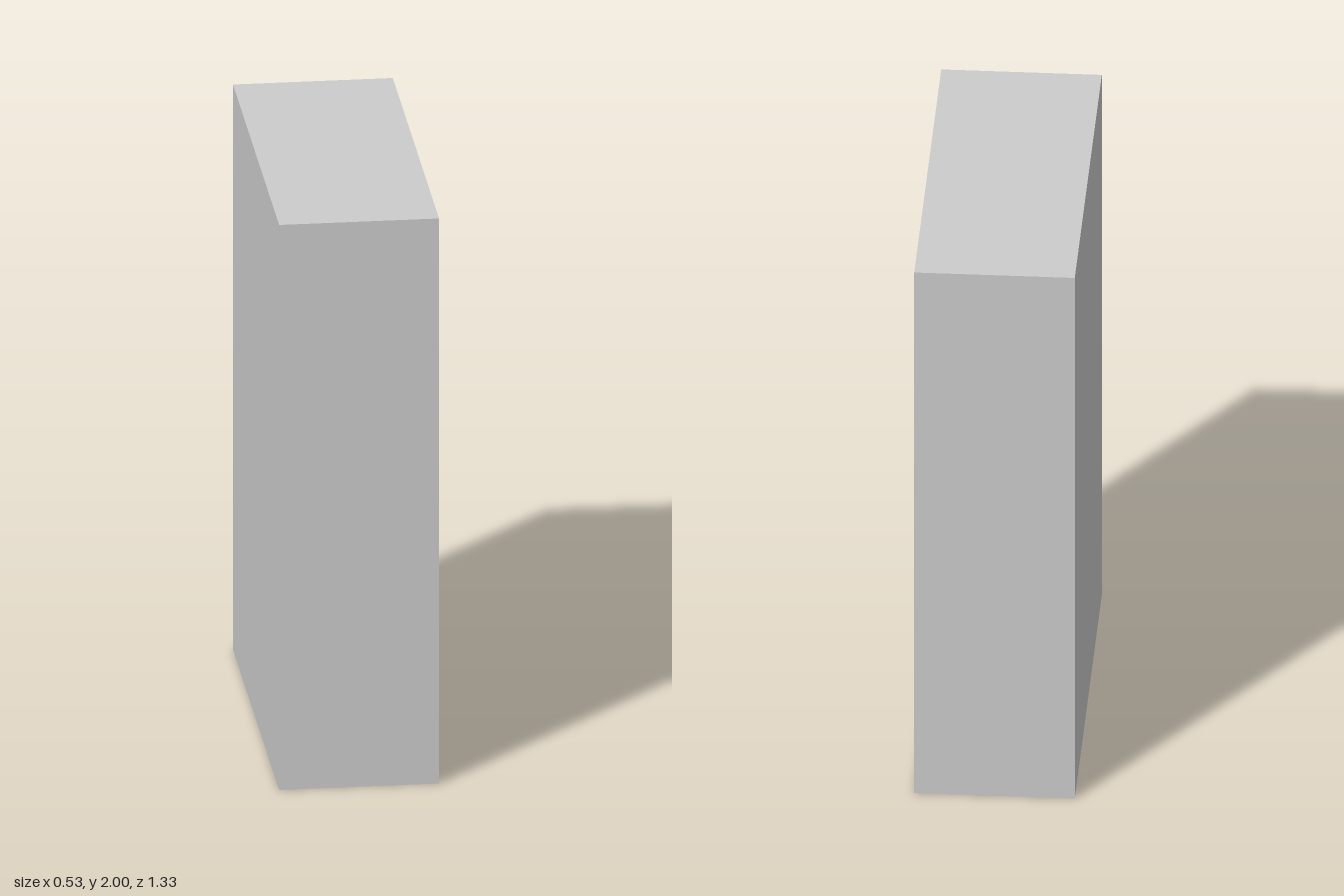
import * as THREE from 'three';

const W = 0.5333, H = 2, D = 1.3333; // overall x, y, z
const RECESS = 0.1333;               // depth of the recessed door
const BORDER = 0.1667;               // width of the frame

function rectangle(PathType, w, h) {
  return new PathType([
    new THREE.Vector2(-w / 2, -h / 2), new THREE.Vector2(w / 2, -h / 2),
    new THREE.Vector2(w / 2, h / 2), new THREE.Vector2(-w / 2, h / 2),
  ]);
}

export function createModel() {
  const group = new THREE.Group();
  group.name = 'cabinet';
  const material = new THREE.MeshStandardMaterial({ color: 0xcccccc, flatShading: true });

  const add = (name, geometry, x, y, z) => {
    const mesh = new THREE.Mesh(geometry, material);
    mesh.name = name;
    mesh.position.set(x, y, z);
    group.add(mesh);
  };

  // Solid body; its +x side is the recessed door panel
  add('body', new THREE.BoxGeometry(W - RECESS, H, D), -RECESS / 2, H / 2, 0);

  // Raised frame around the door
  const outline = rectangle(THREE.Shape, D, H);
  outline.holes.push(rectangle(THREE.Path, D - 2 * BORDER, H - 2 * BORDER));
  const frame = new THREE.ExtrudeGeometry(outline, { depth: RECESS, bevelEnabled: false });
  frame.rotateY(Math.PI / 2);
  add('doorFrame', frame, W / 2 - RECESS, H / 2, 0);

  // Ten-sided, slightly oval knob
  const length = 0.067;
  const knob = new THREE.CylinderGeometry(0.0875, 0.0875, length, 10);
  knob.rotateY(Math.PI / 2).rotateZ(-Math.PI / 2).scale(1, 1, 0.925);
  add('doorKnob', knob, W / 2 - RECESS + length / 2, 0.9, -0.333);

  return group;
}
